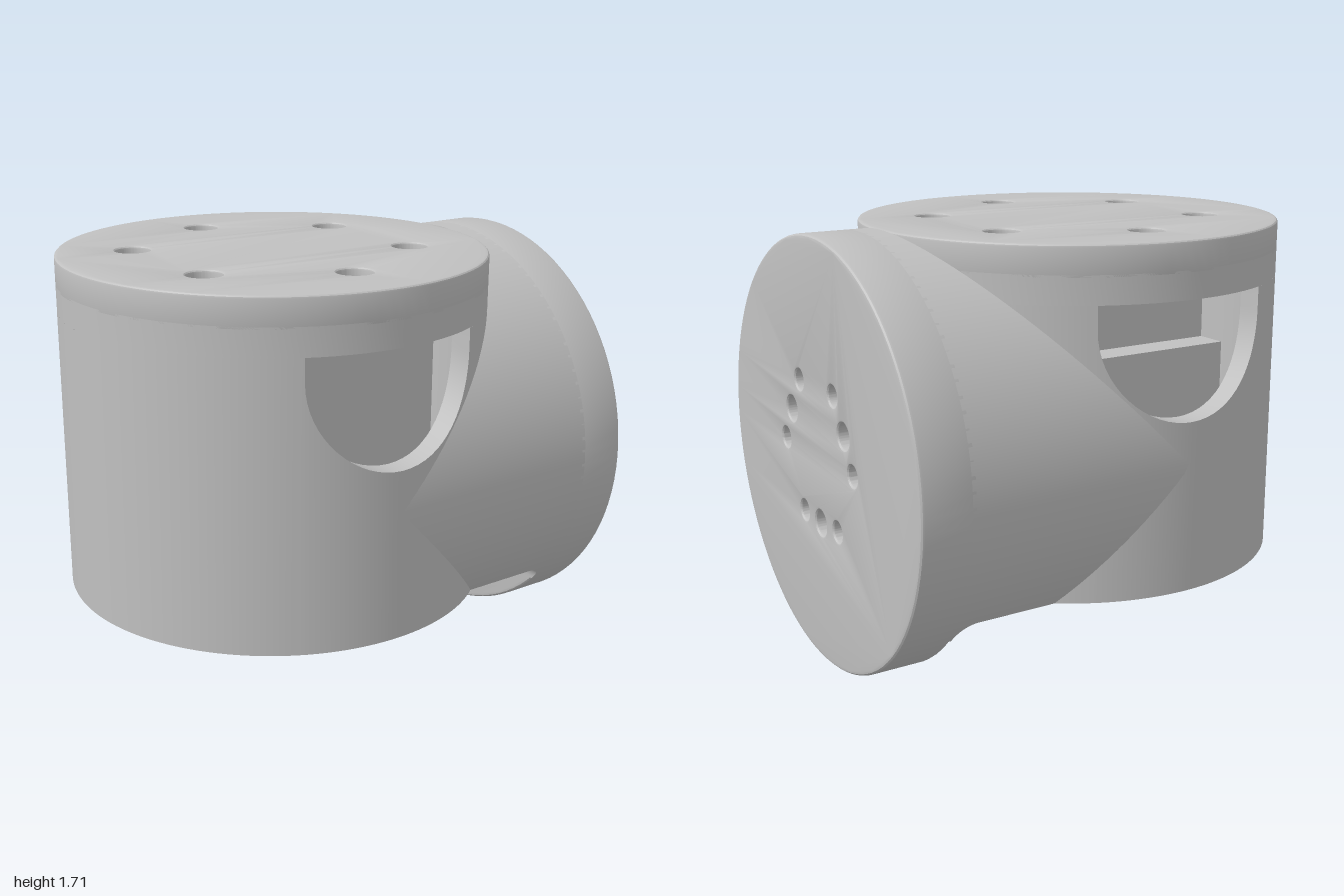
import * as THREE from 'three';
import { toCreasedNormals } from 'three/addons/utils/BufferGeometryUtils.js';

const R = 0.855, BORE = 0.765;          // outer and inner radius of the housing
const BASE = 0.35, CEIL = 1.49, TOP = 1.71;
const WIN = 0.375, WIN_Y = 1.4;         // window half width and arc centre height
const AXIS_X = -0.145;                  // the upright axis; parts are built around it
const ARM_Y = R;                        // height of the horizontal axis

export function createModel() {
  const grey = new THREE.MeshStandardMaterial({ color: 0xc0c0c0, side: THREE.DoubleSide });
  grey.name = 'grey';
  const model = new THREE.Group();
  model.name = 'jointHousing';
  model.position.x = AXIS_X;

  const add = (name, geometry, x = 0, y = 0, z = 0) => {
    const mesh = new THREE.Mesh(toCreasedNormals(geometry, 0.5), grey);
    mesh.name = name;
    mesh.position.set(x, y, z);
    model.add(mesh);
    return mesh;
  };

  // surface from a rule: f(u, v) gives [x, y, z] with u and v from 0 to 1
  const sheet = (nu, nv, f) => {
    const pos = [], index = [];
    for (let i = 0; i <= nu; i++)
      for (let j = 0; j <= nv; j++) {
        pos.push(...f(i / nu, j / nv));
        if (i < nu && j < nv) {
          const a = i * (nv + 1) + j, b = a + nv + 1;
          index.push(a, b, a + 1, b, b + 1, a + 1);
        }
      }
    const g = new THREE.BufferGeometry();
    g.setAttribute('position', new THREE.Float32BufferAttribute(pos, 3));
    g.setIndex(index);
    g.computeVertexNormals();
    return g;
  };

  // round plate from z = 0 to depth with holes [x, y, r]
  const plate = (r, depth, holes = [], bevel = 0) => {
    const s = new THREE.Shape().absarc(0, 0, r, 0, Math.PI * 2);
    for (const [x, y, hr] of holes)
      s.holes.push(new THREE.Path().absarc(x, y, hr, 0, Math.PI * 2, true));
    return new THREE.ExtrudeGeometry(s, {
      depth: depth - 2 * bevel, curveSegments: 48, bevelEnabled: bevel > 0,
      bevelThickness: bevel, bevelSize: bevel, bevelOffset: -bevel, bevelSegments: 3,
    }).translate(0, 0, bevel);
  };
  const flat = (g) => g.rotateX(-Math.PI / 2);
  const ring = (n, dist, r, start = Math.PI / 6) => Array.from({ length: n }, (_, i) => {
    const a = start + i * Math.PI * 2 / n;
    return [dist * Math.cos(a), dist * Math.sin(a), r];
  });

  // upright wall, outer and inner skin, open at the front and back windows
  for (const [name, r] of [['outerWall', R], ['boreWall', BORE]]) {
    const edge = Math.asin(WIN / r);
    for (const s of [-1, 1]) {
      add(name + 'Side', sheet(48, 1, (u, v) => {
        const a = edge + u * (Math.PI - 2 * edge);
        return [s * r * Math.sin(a), BASE + v * (CEIL - BASE), r * Math.cos(a)];
      }));
      add(name + 'UnderWindow', sheet(32, 1, (u, v) => {
        const t = (u - 0.5) * Math.PI, x = WIN * Math.sin(t);
        const top = WIN_Y - WIN * Math.cos(t);
        return [x, BASE + v * (top - BASE), s * Math.sqrt(r * r - x * x)];
      }));
    }
  }

  // window edges through the wall thickness
  const sill = [[-WIN, CEIL]];
  for (let i = 0; i <= 32; i++) {
    const t = (i / 32 - 0.5) * Math.PI;
    sill.push([WIN * Math.sin(t), WIN_Y - WIN * Math.cos(t)]);
  }
  sill.push([WIN, CEIL]);
  for (const s of [-1, 1])
    add('windowEdge', sheet(sill.length - 1, 1, (u, v) => {
      const [x, y] = sill[Math.round(u * (sill.length - 1))];
      const r = v ? R : BORE;
      return [x, y, s * Math.sqrt(r * r - x * x)];
    }));

  // roof with counterbored screw holes
  add('roof', flat(plate(R, 0.11, ring(6, 0.55, 0.045))), 0, CEIL);
  add('roofTop', flat(plate(R, 0.13, ring(6, 0.55, 0.07), 0.012)), 0, TOP - 0.13);

  // underside of the wall and arm, around the bore
  const half = Math.sqrt(R * R - (ARM_Y - BASE) ** 2);
  const corner = Math.atan2(half, ARM_Y - BASE);
  const under = new THREE.Shape();
  under.absarc(0, 0, R, corner, Math.PI * 2 - corner);
  under.lineTo(0.835, -half);
  under.lineTo(0.835, half);
  under.holes.push(new THREE.Path().absarc(0, 0, BORE, 0, Math.PI * 2, true));
  add('underside', new THREE.ShapeGeometry(under, 48).rotateX(Math.PI / 2), 0, BASE);

  // horizontal arm, mitred against the upright wall and cut flat below
  const cut = Math.PI - Math.acos((ARM_Y - BASE) / R);
  add('arm', sheet(96, 1, (u, v) => {
    const a = (u * 2 - 1) * cut;
    const x0 = Math.abs(R * Math.cos(a));
    return [x0 + v * (0.945 - x0), ARM_Y + R * Math.cos(a), R * Math.sin(a)];
  }));

  // rounded step from the arm to the end disc
  const step = (u) => [0.835 + 0.08 * Math.sin(u * Math.PI / 2), BASE - 0.08 + 0.08 * Math.cos(u * Math.PI / 2)];
  const width = (y) => Math.sqrt(R * R - (ARM_Y - y) ** 2);
  add('stepFillet', sheet(10, 1, (u, v) => {
    const [x, y] = step(u);
    return [x, y, (v * 2 - 1) * width(y)];
  }));
  for (const s of [-1, 1])
    add('stepSide', sheet(10, 1, (u, v) => {
      const [x, y] = step(u);
      return [x + v * (0.945 - x), y, s * width(y)];
    }));

  // end disc with its bolt pattern
  const bolts = [[0, -0.27, 0.05]];
  for (const s of [-1, 1])
    bolts.push([s * 0.155, 0.275, 0.04], [s * 0.24, 0.14, 0.05], [s * 0.31, 0.005, 0.04], [s * 0.155, -0.26, 0.04]);
  add('endDisc', plate(R, 0.23, bolts, 0.015).rotateY(Math.PI / 2), 0.915, ARM_Y);

  // motor block, with a ledge at the back
  add('motorBlock', new THREE.BoxGeometry(0.9, 0.81, 0.94), 0, 0.805);
  add('motorUpper', new THREE.BoxGeometry(0.9, 0.28, 0.81), 0, 1.35, 0.065);

  // output flange, hub and drive pins
  add('flange', flat(plate(0.625, 0.1, ring(6, 0.565, 0.03))), 0, 0.32);
  add('hub', flat(plate(0.42, 0.05, ring(6, 0.32, 0.028), 0.005)), 0, 0.303);
  for (const [x, z] of ring(3, 0.27, 0, 0))
    add('drivePin', new THREE.CylinderGeometry(0.045, 0.045, 0.1, 24), x, 0.3, z);

  const root = new THREE.Group();
  root.name = 'actuatorJoint';
  root.add(model);
  return root;
}
